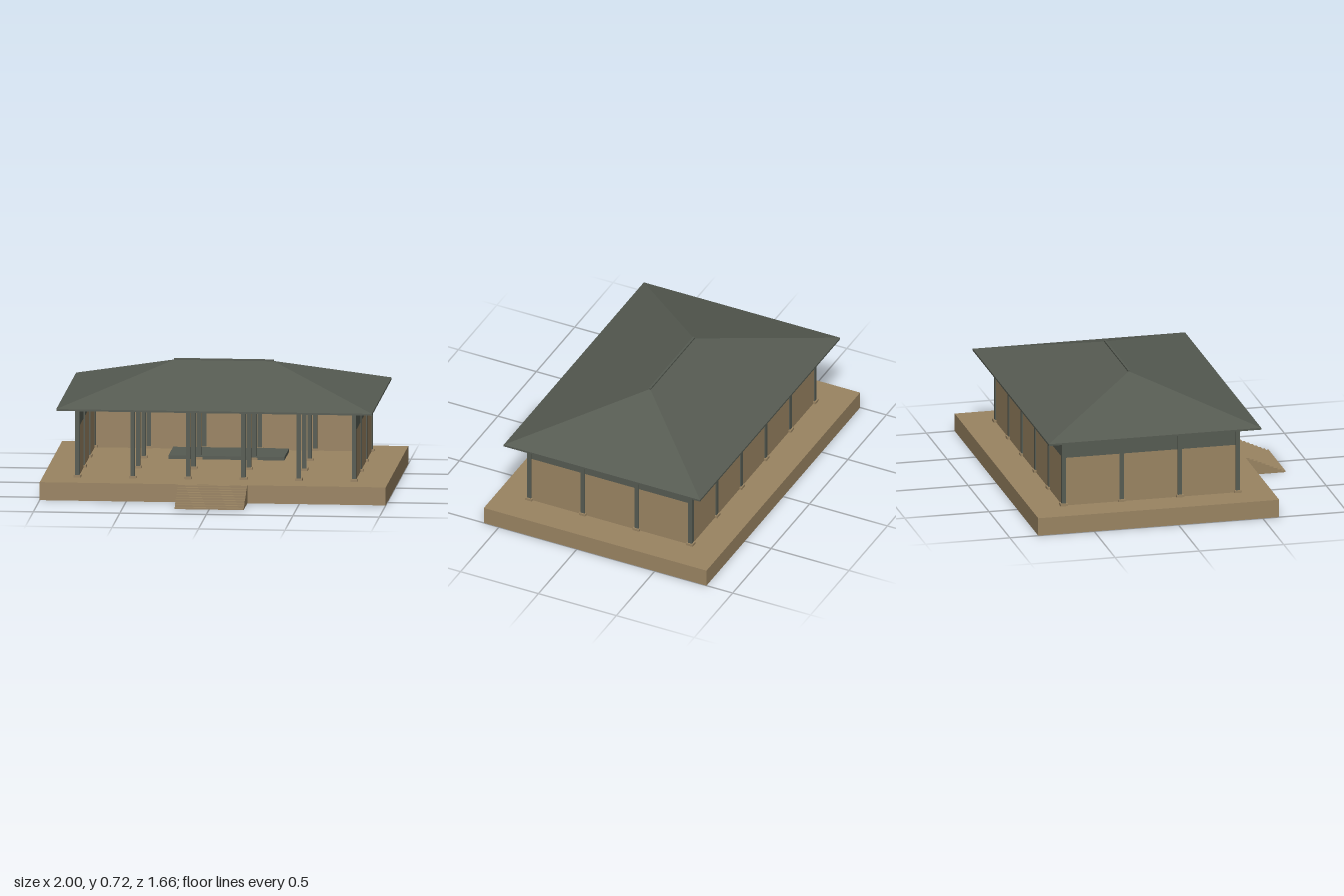
import * as THREE from 'three';

const tan = new THREE.MeshStandardMaterial({ color: 0x9a8462 });
tan.name = 'sandstone';
const dark = new THREE.MeshStandardMaterial({ color: 0x565b52 });
dark.name = 'slate timber';

const FLOOR = 0.105, EAVE = 0.508;
const COL_X = [-0.8, -0.48, -0.16, 0.16, 0.48, 0.8];
const COL_Z = [0.4, 0.055, -0.29, -0.633];
const MID_Z = -0.117;

// Box given by its min and max corners
function box(parent, name, material, [x0, y0, z0], [x1, y1, z1]) {
  const mesh = new THREE.Mesh(new THREE.BoxGeometry(x1 - x0, y1 - y0, z1 - z0), material);
  mesh.position.set((x0 + x1) / 2, (y0 + y1) / 2, (z0 + z1) / 2);
  mesh.name = name;
  parent.add(mesh);
  return mesh;
}

// Hipped roof: a box whose top face is pinched to the ridge line
function hipRoof(halfX, halfZ, ridgeHalf, y0, y1) {
  const box = new THREE.BoxGeometry(halfX * 2, 1, halfZ * 2);
  const p = box.attributes.position;
  for (let i = 0; i < p.count; i++) {
    if (p.getY(i) > 0) p.setXYZ(i, Math.sign(p.getX(i)) * ridgeHalf, y1, Math.sign(p.getZ(i)) * 0.001);
    else p.setY(i, y0);
  }
  const geometry = box.toNonIndexed();
  geometry.computeVertexNormals();
  return geometry;
}

export function createModel() {
  const model = new THREE.Group();
  model.name = 'pavilionHall';

  // Platform and front stairs
  box(model, 'platform', tan, [-1, 0, -0.832], [1, FLOOR, 0.597]);
  const stairs = new THREE.Group();
  stairs.name = 'stairs';
  model.add(stairs);
  const steps = 10, run = 0.235 / steps;
  for (let i = 0; i < steps; i++) {
    const z = 0.597 + i * run;
    box(stairs, 'step', tan, [-0.2, 0, z], [0.2, FLOOR * (steps - i) / steps - 0.001, z + run]);
  }

  // Columns on square footings, in a full grid
  const columns = new THREE.Group();
  columns.name = 'columns';
  model.add(columns);
  for (const z of COL_Z) for (const x of COL_X) {
    box(columns, 'footing', tan, [x - 0.021, FLOOR, z - 0.021], [x + 0.021, FLOOR + 0.014, z + 0.021]);
    box(columns, 'column', dark, [x - 0.0125, FLOOR + 0.014, z - 0.0125], [x + 0.0125, EAVE, z + 0.0125]);
  }

  // Beams along the tops of the column rows
  for (const z of COL_Z) box(model, 'longBeam', dark, [-0.8, 0.496, z - 0.01], [0.8, EAVE, z + 0.01]);
  for (const x of COL_X) box(model, 'crossBeam', dark, [x - 0.01, 0.496, COL_Z[3]], [x + 0.01, EAVE, COL_Z[0]]);

  // Back and side walls: plaster below, timber band above; the front is open
  const layers = [['wall', tan, FLOOR, 0.393], ['wallBand', dark, 0.393, EAVE]];
  for (const [name, material, y0, y1] of layers) {
    box(model, 'back' + name, material, [-0.795, y0, -0.639], [0.795, y1, -0.627]);
    for (const s of [-1, 1])
      box(model, 'side' + name, material, [s * 0.8 - 0.006, y0, -0.633], [s * 0.8 + 0.006, y1, 0.4]);
  }

  // Low dais at the back of the hall
  box(model, 'dais', dark, [-0.335, FLOOR, -0.57], [0.335, 0.125, -0.27]);

  // Roof: eave slab, hipped slopes and ridge cap
  box(model, 'eaveSlab', dark, [-0.912, EAVE, MID_Z - 0.63], [0.912, 0.519, MID_Z + 0.63]);
  const roof = new THREE.Mesh(hipRoof(0.912, 0.63, 0.285, 0.519, 0.712), dark);
  roof.position.z = MID_Z;
  roof.name = 'hipRoof';
  model.add(roof);
  box(model, 'ridgeCap', dark, [-0.288, 0.703, MID_Z - 0.006], [0.288, 0.72, MID_Z + 0.006]);

  return model;
}
